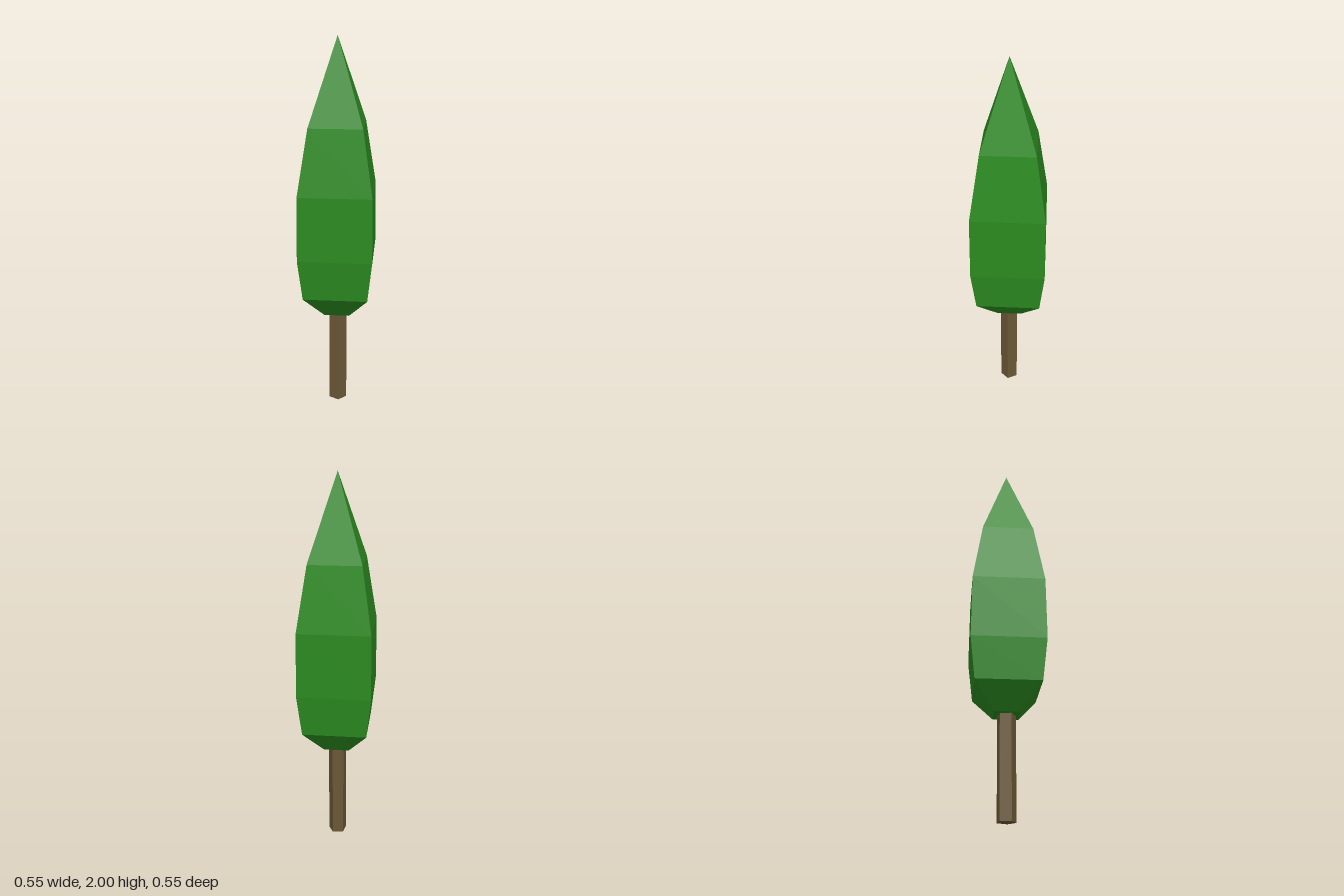
import * as THREE from 'three';

export function createModel() {
  const tree = new THREE.Group();
  tree.name = 'tree';

  const addPart = (name, geometry, color) => {
    const material = new THREE.MeshStandardMaterial({ color, flatShading: true });
    const mesh = new THREE.Mesh(geometry, material);
    mesh.name = name;
    tree.add(mesh);
    return mesh;
  };

  // Five-sided trunk, with a flat face to the front and a corner at the back
  const trunkHeight = 0.54;
  const trunk = addPart(
    'trunk',
    new THREE.CylinderGeometry(0.05, 0.05, trunkHeight, 5, 1, false, Math.PI),
    0x6b5836
  );
  trunk.position.y = trunkHeight / 2;

  // Four-sided foliage with ridges on the x and z axes, closed underneath
  const profile = [
    [0, 0.53], [0.095, 0.53], [0.24, 0.66], [0.274, 0.88],
    [0.269, 1.22], [0.195, 1.56], [0, 2],
  ].map(([radius, y]) => new THREE.Vector2(radius, y));
  addPart('foliage', new THREE.LatheGeometry(profile, 4), 0x2b8a20);

  return tree;
}
